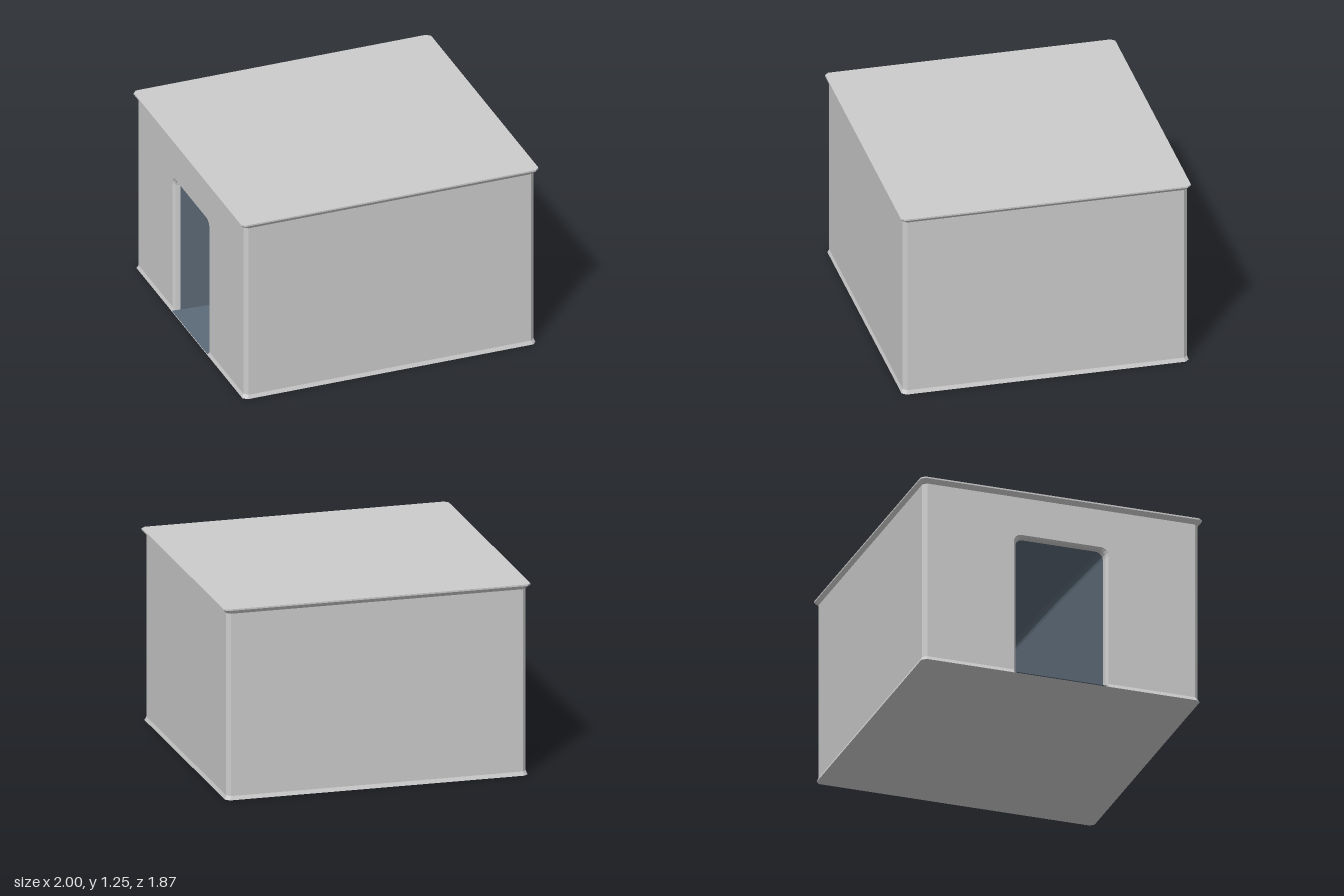
import * as THREE from 'three';

const grey = new THREE.MeshStandardMaterial({ color: 0xcccccc, flatShading: true, side: THREE.DoubleSide });
const slate = new THREE.MeshStandardMaterial({ color: 0x5c6a78, flatShading: true, side: THREE.DoubleSide });

const DOOR = 0.315; // half width of the doorway in the wall

// Join successive closed rings with quads; keep(layer, segment) can leave some out.
function loft(rings, keep = () => true) {
  const n = rings[0].length, index = [];
  for (let l = 0; l < rings.length - 1; l++) {
    for (let i = 0; i < n; i++) {
      if (!keep(l, i)) continue;
      const a = l * n + i, b = l * n + (i + 1) % n;
      index.push(a, b, b + n, a, b + n, a + n);
    }
  }
  return build(rings.flat(), index);
}

// Close one convex ring with a fan.
function cap(ring) {
  const index = [];
  for (let i = 1; i < ring.length - 1; i++) index.push(0, i, i + 1);
  return build(ring, index);
}

function build(points, index) {
  const g = new THREE.BufferGeometry();
  g.setAttribute('position', new THREE.Float32BufferAttribute(points.flat(), 3));
  g.setIndex(index);
  g.computeVertexNormals();
  return g;
}

// Plan of the building: a rectangle with cut corners, split at the doorway on -x.
function planRing(y, hx, hz, c = 0.025) {
  const x = hx - c, z = hz - c;
  return [[hx, z], [hx, -z], [x, -hz], [-x, -hz], [-hx, -z], [-hx, -DOOR],
    [-hx, DOOR], [-hx, z], [-x, hz], [x, hz]].map(([px, pz]) => [px, y, pz]);
}

// Doorway outline as [z, y]: flat floor, upright sides, rounded top corners.
function arch(w, h, r = 0.05, floor = 0.006) {
  const pts = [[-w, floor], [w, floor]];
  for (const side of [1, -1]) {
    for (let i = 0; i <= 4; i++) {
      const t = (side > 0 ? i : 4 - i) / 4 * Math.PI / 2;
      pts.push([side * (w - r + r * Math.cos(t)), h - r + r * Math.sin(t)]);
    }
  }
  return pts;
}
const archRing = ([x, w, h]) => arch(w, h).map(([z, y]) => [x, y, z]);

export function createModel() {
  const group = new THREE.Group();
  const add = (name, geometry, material = grey) => {
    const mesh = new THREE.Mesh(geometry, material);
    mesh.name = name;
    group.add(mesh);
  };

  // Walls with a flared foot and a flared eave
  const rings = [
    planRing(0, 0.985, 0.925), planRing(0.025, 0.975, 0.915),
    planRing(1.215, 0.975, 0.915), planRing(1.24, 1, 0.935), planRing(1.25, 1, 0.935),
  ];
  add('walls', loft(rings, (l, i) => !(l === 0 && i === 5) && !(l === 1 && i >= 4 && i <= 6)));
  add('roof', cap(rings[4]));
  add('base', cap([...rings[0]].reverse()));

  // Wall around the doorway
  const W = 0.89, y0 = 0.025, y1 = 1.215;
  const outline = [[-W, y0], [-DOOR, y0], ...arch(DOOR, 0.96).slice(2).reverse(),
    [DOOR, y0], [W, y0], [W, y1], [-W, y1]].map(([u, v]) => new THREE.Vector2(u, v));
  const doorWall = new THREE.ShapeGeometry(new THREE.Shape(outline));
  doorWall.rotateY(-Math.PI / 2).translate(-0.975, 0, 0);
  add('doorWall', doorWall);

  // Softened door reveal, then a passage that narrows towards its far end
  add('doorReveal', loft([[-0.975, DOOR, 0.96], [-0.96, 0.3, 0.95], [-0.93, 0.293, 0.945]].map(archRing),
    (l, i) => i !== 0));
  add('doorSill', loft([[-0.985, 0.3, 0.95], [-0.93, 0.293, 0.945]].map(archRing), (l, i) => i === 0), slate);
  const passage = [[-0.93, 0.293, 0.945], [-0.2, 0.25, 0.94], [0.5, 0.225, 0.93], [0.9, 0.208, 0.92]].map(archRing);
  add('passage', loft(passage), slate);
  add('passageEnd', cap(passage[3]), slate);

  return group;
}
